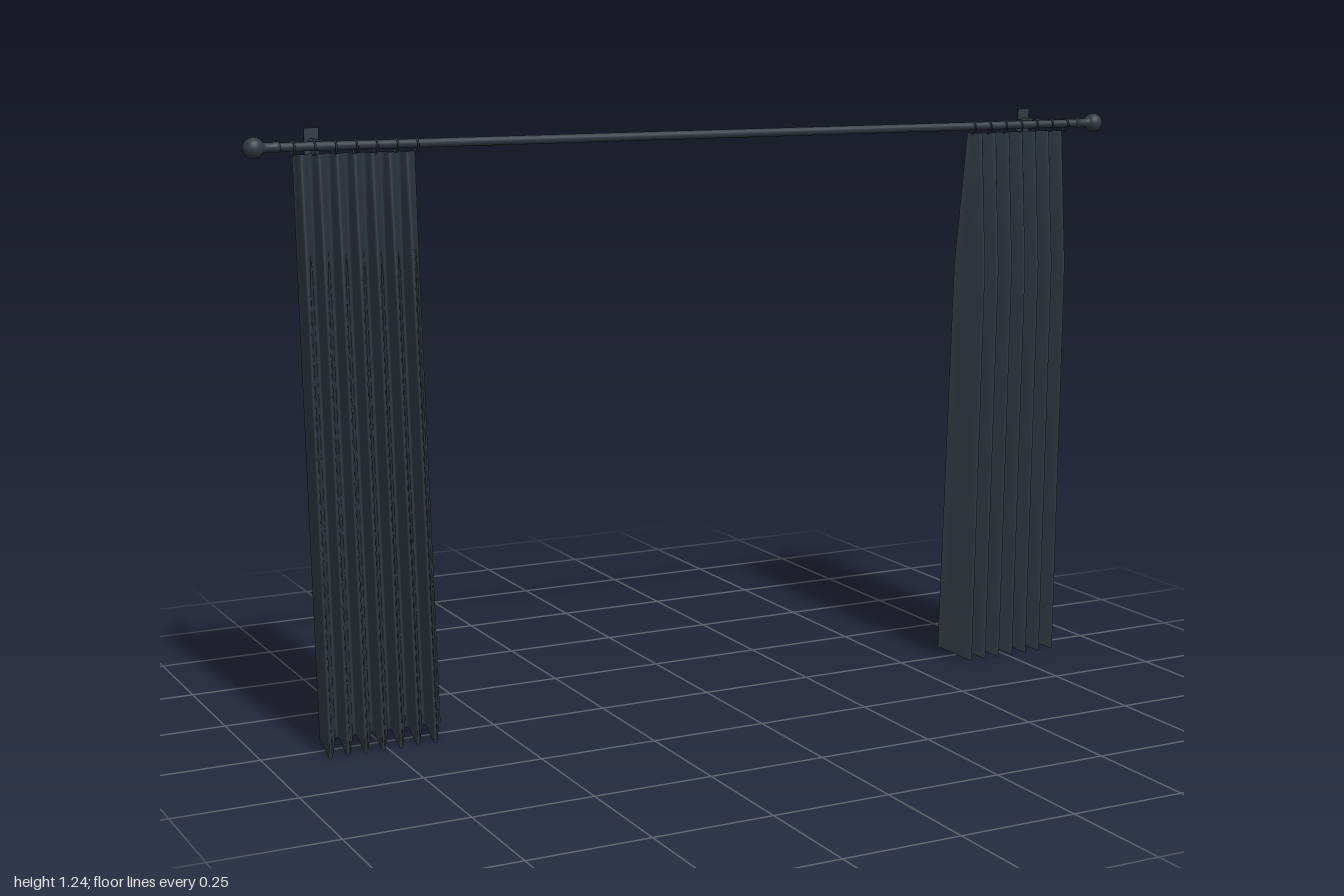
import * as THREE from 'three';

const ROD_Y = 1.215, ROD_Z = 0.02, PLEATS = 7;

export function createModel() {
  const group = new THREE.Group();
  const metal = new THREE.MeshStandardMaterial({ color: 0x2f3942 });
  metal.name = 'dark slate';
  const fabric = new THREE.MeshStandardMaterial({ color: 0x2f3942, side: THREE.DoubleSide });
  fabric.name = 'dark slate fabric';

  const add = (name, geometry, x, y, z, material = metal) => {
    const mesh = new THREE.Mesh(geometry, material);
    mesh.name = name;
    mesh.position.set(x, y, z);
    group.add(mesh);
    return mesh;
  };

  // Rod
  add('rod', new THREE.CylinderGeometry(0.009, 0.009, 1.92, 20).rotateZ(Math.PI / 2), 0, ROD_Y, ROD_Z);

  // Finial: collar, neck and ball in one profile, pointing along +y
  const profile = [[0, -0.05], [0.011, -0.05], [0.011, -0.042], [0.009, -0.038], [0.010, -0.024]]
    .map(([r, y]) => new THREE.Vector2(r, y));
  for (let i = 0; i <= 12; i++) {
    const a = -1.05 + (Math.PI / 2 + 1.05) * i / 12;
    profile.push(new THREE.Vector2(Math.max(0, Math.cos(a) * 0.021), Math.sin(a) * 0.021));
  }
  const finial = new THREE.LatheGeometry(profile, 24);

  // Pleated sheet: folds deepen downwards and lean towards the window centre
  const curtain = (side) => {
    const cols = PLEATS * 12, rows = 24;
    const geometry = new THREE.PlaneGeometry(1, 1, cols, rows);
    const p = geometry.attributes.position;
    for (let i = 0; i < p.count; i++) {
      const t = p.getX(i) + 0.5, v = 0.5 - p.getY(i);
      const across = side > 0 ? 1 - t : t;
      const depth = v < 0.25
        ? THREE.MathUtils.lerp(0.011, 0.034, v / 0.25)
        : THREE.MathUtils.lerp(0.034, 0.04, (v - 0.25) / 0.75);
      const wave = -Math.cos(across * PLEATS * Math.PI * 2);
      const outer = THREE.MathUtils.lerp(0.902, 0.882, v);
      const inner = THREE.MathUtils.lerp(0.652, 0.622, v);
      const x = THREE.MathUtils.lerp(outer, inner, across) + wave * depth * 0.28;
      const hem = 0.011 - 0.009 * wave;
      p.setXYZ(i, side * x, THREE.MathUtils.lerp(1.2, hem, v), 0.016 + 0.004 * v + wave * depth);
    }
    geometry.computeVertexNormals();
    return geometry;
  };

  const ring = new THREE.TorusGeometry(0.0135, 0.002, 8, 24).rotateY(Math.PI / 2);
  const arm = new THREE.CylinderGeometry(0.007, 0.007, 0.076, 14).rotateX(Math.PI / 2);

  for (const side of [-1, 1]) {
    const label = side > 0 ? 'left' : 'right';
    add(label + 'Finial', finial, side * 0.979, ROD_Y, ROD_Z).rotation.z = -side * Math.PI / 2;
    add(label + 'Curtain', curtain(side), 0, 0, 0, fabric);

    // Rings carrying the curtain
    for (let i = 0; i < PLEATS; i++) {
      add(label + 'Ring' + (i + 1), ring, side * (0.902 - 0.25 * i / (PLEATS - 1)), ROD_Y - 0.003, ROD_Z);
    }

    // Wall bracket
    add(label + 'BracketArm', arm, side * 0.84, 1.219, -0.018);
    add(label + 'BracketPlate', new THREE.BoxGeometry(0.03, 0.054, 0.004), side * 0.84, 1.219, -0.057);
  }
  return group;
}
